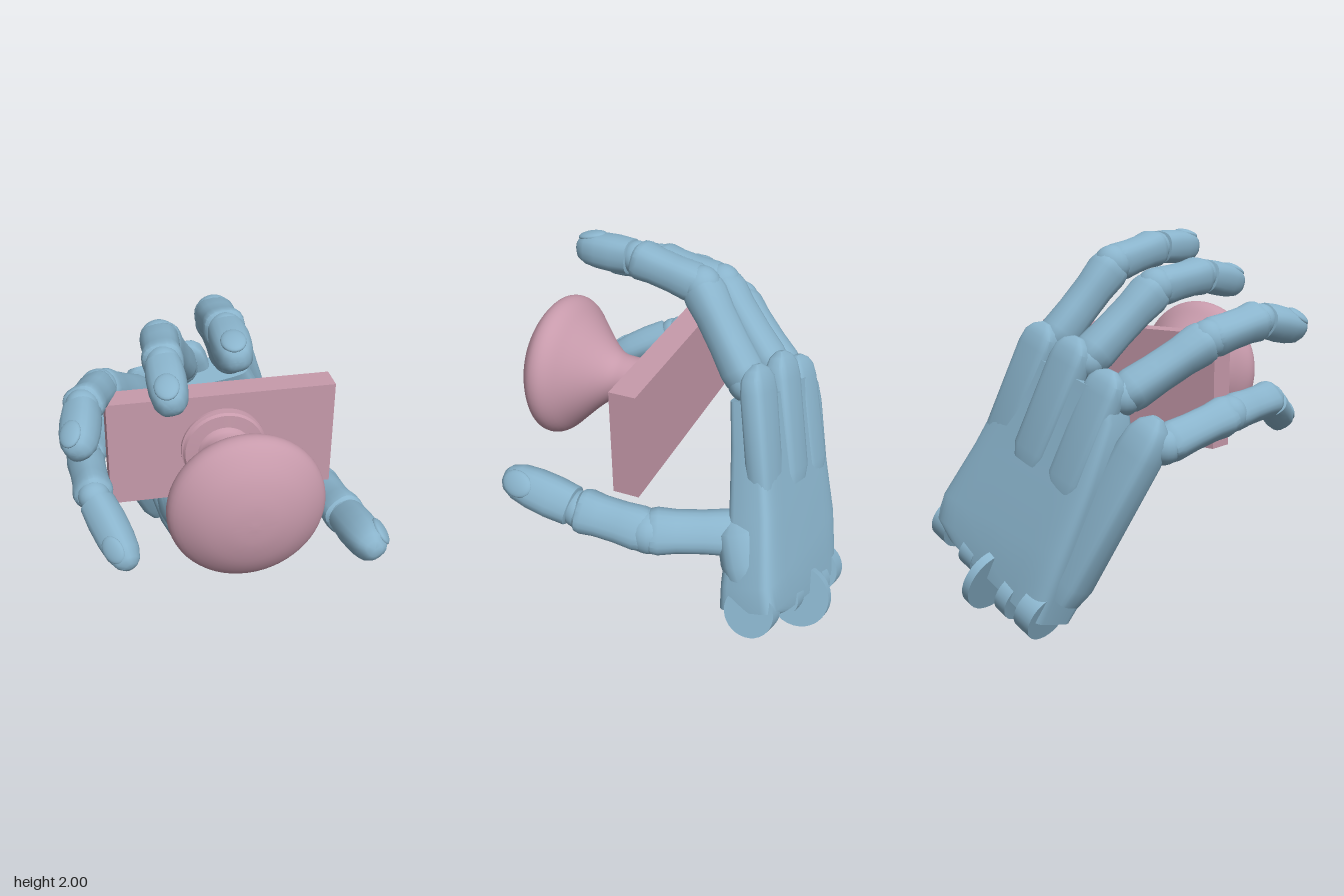
import * as THREE from 'three';
import { toCreasedNormals } from 'three/addons/utils/BufferGeometryUtils.js';

const V = (x, y, z) => new THREE.Vector3(x, y, z);
const blue = new THREE.MeshStandardMaterial({ color: 0x8ab4cc });
const pink = new THREE.MeshStandardMaterial({ color: 0xc79aab });
const BACK = V(0.07, 0.28, -0.96).normalize(); // out of the back of the hand
const WRIST = V(0.92, 0.37, 0.05).normalize(); // along the wrist hinge

function mesh(name, geometry, material = blue) {
  const m = new THREE.Mesh(geometry, material);
  m.name = name;
  return m;
}

// Skin over superellipse rings { c: centre, u, v: half axes }, closed at both ends
function loft(rings, power = 2.6, sides = 20) {
  const pos = [], idx = [];
  const bend = (k) => Math.sign(k) * Math.abs(k) ** (2 / power);
  for (const { c, u, v } of rings) {
    for (let j = 0; j < sides; j++) {
      const a = (j / sides) * Math.PI * 2;
      const p = c.clone().addScaledVector(u, bend(Math.cos(a))).addScaledVector(v, bend(Math.sin(a)));
      pos.push(p.x, p.y, p.z);
    }
  }
  const n = rings.length;
  pos.push(...rings[0].c.toArray(), ...rings[n - 1].c.toArray());
  for (let j = 0; j < sides; j++) {
    const k = (j + 1) % sides, top = (n - 1) * sides;
    for (let i = 0; i < n - 1; i++) {
      const a = i * sides + j, b = i * sides + k;
      idx.push(a, b, a + sides, b, b + sides, a + sides);
    }
    idx.push(n * sides, k, j, n * sides + 1, top + j, top + k);
  }
  const g = new THREE.BufferGeometry();
  g.setAttribute('position', new THREE.Float32BufferAttribute(pos, 3));
  g.setIndex(idx);
  return toCreasedNormals(g, 0.6);
}

// Straight limb from a to b; steps are [fraction, radius factor]
function limb(a, b, up, r, thick, steps, power) {
  const t = b.clone().sub(a).normalize();
  const v = up.clone().addScaledVector(t, -up.dot(t)).normalize();
  const u = v.clone().cross(t);
  return loft(steps.map(([f, k]) => ({
    c: a.clone().lerp(b, f),
    u: u.clone().multiplyScalar(r * k),
    v: v.clone().multiplyScalar(r * k * thick),
  })), power);
}

function cylinder(name, c, axis, r, length) {
  const m = mesh(name, new THREE.CylinderGeometry(r, r, length, 32));
  m.position.copy(c);
  m.quaternion.setFromUnitVectors(V(0, 1, 0), axis);
  return m;
}

const PHALANX = [[0, 0.8], [0.04, 0.92], [0.14, 0.98], [0.4, 0.92], [0.7, 0.92], [0.9, 1], [0.98, 0.94], [1.02, 0.8]];
const FINGERTIP = [[0.08, 0.7], [0.1, 0.92], [0.35, 0.98], [0.6, 0.95], [0.8, 0.84], [0.93, 0.62], [0.985, 0.36], [1, 0.1]];

// Jointed finger through the given joints, ending at the tip
function finger(name, joints, up, r) {
  const g = new THREE.Group();
  g.name = name;
  const last = joints.length - 2;
  for (let i = 0; i <= last; i++) {
    const a = joints[i], b = joints[i + 1], tip = i === last;
    g.add(mesh(tip ? 'fingertip' : 'phalanx', limb(a, b, up, r * (1 - 0.04 * i), 0.96, tip ? FINGERTIP : PHALANX)));
    const ball = mesh('fingerJoint', new THREE.SphereGeometry(r * (tip ? 0.8 : 0.95), 20, 14));
    ball.position.copy(a);
    g.add(ball);
  }
  // Nail lying on the last segment, sloping with it
  const a = joints[last], b = joints[last + 1];
  const t = b.clone().sub(a).normalize();
  const v = up.clone().addScaledVector(t, -up.dot(t)).normalize();
  const nail = mesh('nail', new THREE.SphereGeometry(1, 20, 12));
  nail.scale.set(r * 0.56, r * 0.22, r * 0.72);
  nail.position.copy(a).lerp(b, 0.76).addScaledVector(v, r * 0.66);
  nail.quaternion.setFromRotationMatrix(new THREE.Matrix4().makeBasis(v.clone().cross(t), v, t));
  nail.rotateX(0.22);
  g.add(nail);
  return g;
}

function palm() {
  const g = new THREE.Group();
  g.name = 'palm';
  // Stations from wrist to knuckles: little-finger side, thumb side, half thickness
  const stations = [
    [V(-0.14, 0.08, -0.72), V(0.62, 0.36, -0.62), 0.14],
    [V(-0.2, 0.25, -0.66), V(0.73, 0.44, -0.58), 0.17],
    [V(-0.25, 0.42, -0.64), V(0.7, 0.57, -0.56), 0.155],
    [V(-0.33, 0.75, -0.57), V(0.53, 0.86, -0.51), 0.125],
    [V(-0.39, 1.08, -0.5), V(0.38, 1.17, -0.44), 0.105],
    [V(-0.35, 1.21, -0.47), V(0.28, 1.37, -0.39), 0.1],
  ];
  g.add(mesh('palmBody', loft(stations.map(([p, q, h]) => ({
    c: p.clone().add(q).multiplyScalar(0.5),
    u: q.clone().sub(p).multiplyScalar(0.5),
    v: BACK.clone().multiplyScalar(h),
  })), 7, 48)));

  // Metacarpals with rounded caps over the knuckles, flush with the back: start, end, thickness ratio
  const bones = [
    ['indexMetacarpal', V(0.38, 0.9, -0.56), V(0.17, 1.53, -0.41), 0.55],
    ['middleMetacarpal', V(0.12, 0.85, -0.61), V(-0.08, 1.48, -0.45), 0.55],
    ['ringMetacarpal', V(-0.14, 0.75, -0.64), V(-0.31, 1.34, -0.47), 0.55],
    ['littleMetacarpal', V(-0.16, 0.22, -0.69), V(-0.55, 1.13, -0.42), 0.75],
  ];
  const cap = [[0, 0.8], [0.1, 1], [0.8, 1], [0.9, 0.9], [0.96, 0.65], [1, 0.25]];
  for (const [name, a, b, thick] of bones) g.add(mesh(name, limb(a, b, BACK, 0.115, thick, cap, 4)));

  // Fleshy base of the thumb and heel of the hand
  const pad = [[0, 0.6], [0.15, 0.9], [0.5, 1], [0.85, 0.9], [1, 0.5]];
  g.add(mesh('thumbMound', limb(V(0.58, 0.4, -0.6), V(0.43, 0.8, -0.43), V(0.2, 0.1, 1), 0.17, 0.8, pad)));
  g.add(mesh('heelPad', limb(V(-0.01, 0.13, -0.62), V(-0.12, 0.64, -0.43), BACK, 0.16, 0.7, pad, 3.5)));
  return g;
}

function wrist() {
  const g = new THREE.Group();
  g.name = 'wrist';
  g.add(cylinder('wristDisc', V(0.28, 0.23, -0.74), WRIST, 0.17, 0.05));
  const lugs = [[-0.07, 0.14, -0.74, 0.13, 0.11], [0.1, 0.18, -0.73, 0.12, 0.08],
    [0.42, 0.33, -0.69, 0.1, 0.1], [0.68, 0.43, -0.61, 0.13, 0.11]];
  for (const [x, y, z, r, length] of lugs) g.add(cylinder('hingeLug', V(x, y, z), WRIST, r, length));
  return g;
}

function knob() {
  const g = new THREE.Group();
  g.name = 'doorKnob';
  const plate = mesh('backPlate', new THREE.BoxGeometry(1.18, 0.585, 0.14), pink);
  plate.position.set(0.03, 1.193, 0.1);
  // Stepped flange, then the neck swelling into the grip
  const flange = [[0, 0], [0.21, 0], [0.22, 0.015], [0.22, 0.03], [0.205, 0.035], [0.205, 0.045],
    [0.215, 0.052], [0.205, 0.065], [0.14, 0.07]];
  const curve = new THREE.SplineCurve([[0.14, 0.07], [0.12, 0.1], [0.118, 0.18], [0.13, 0.25],
    [0.19, 0.33], [0.29, 0.43], [0.36, 0.5], [0.382, 0.56], [0.355, 0.62], [0.25, 0.69], [0.12, 0.73], [0, 0.74]]
    .map(([x, y]) => new THREE.Vector2(x, y)));
  const profile = flange.map(([x, y]) => new THREE.Vector2(x, y)).concat(curve.getPoints(44).slice(1));
  profile[profile.length - 1].x = 0;
  const grip = mesh('knobGrip', toCreasedNormals(new THREE.LatheGeometry(profile, 56), 0.5), pink);
  grip.rotation.x = Math.PI / 2;
  grip.position.set(0.03, 1.195, 0.17);
  g.add(plate, grip);
  return g;
}

export function createModel() {
  const model = new THREE.Group();
  model.name = 'handAndKnob';
  model.add(knob(), palm(), wrist());
  model.add(
    finger('indexFinger', [V(0.18, 1.42, -0.37), V(0.03, 1.82, -0.06), V(0.015, 1.9, 0.29), V(0.0, 1.9, 0.63)],
      V(-0.1, 1, -0.1), 0.105),
    finger('middleFinger', [V(-0.09, 1.36, -0.41), V(-0.25, 1.71, -0.06), V(-0.285, 1.76, 0.3), V(-0.3, 1.7, 0.64)],
      V(-0.2, 1, 0), 0.105),
    finger('ringFinger', [V(-0.33, 1.21, -0.42), V(-0.57, 1.47, -0.05), V(-0.675, 1.55, 0.26), V(-0.73, 1.48, 0.59)],
      V(-0.5, 0.85, 0), 0.104),
    finger('littleFinger', [V(-0.55, 0.99, -0.38), V(-0.67, 1.1, 0), V(-0.66, 1.12, 0.4), V(-0.53, 0.93, 0.76)],
      V(-0.7, 0.6, 0.3), 0.1),
    finger('thumb', [V(0.46, 0.71, -0.46), V(0.64, 0.72, -0.03), V(0.675, 0.77, 0.34), V(0.68, 0.87, 0.77)],
      V(0.8, 0.55, 0), 0.123),
  );
  return model;
}
